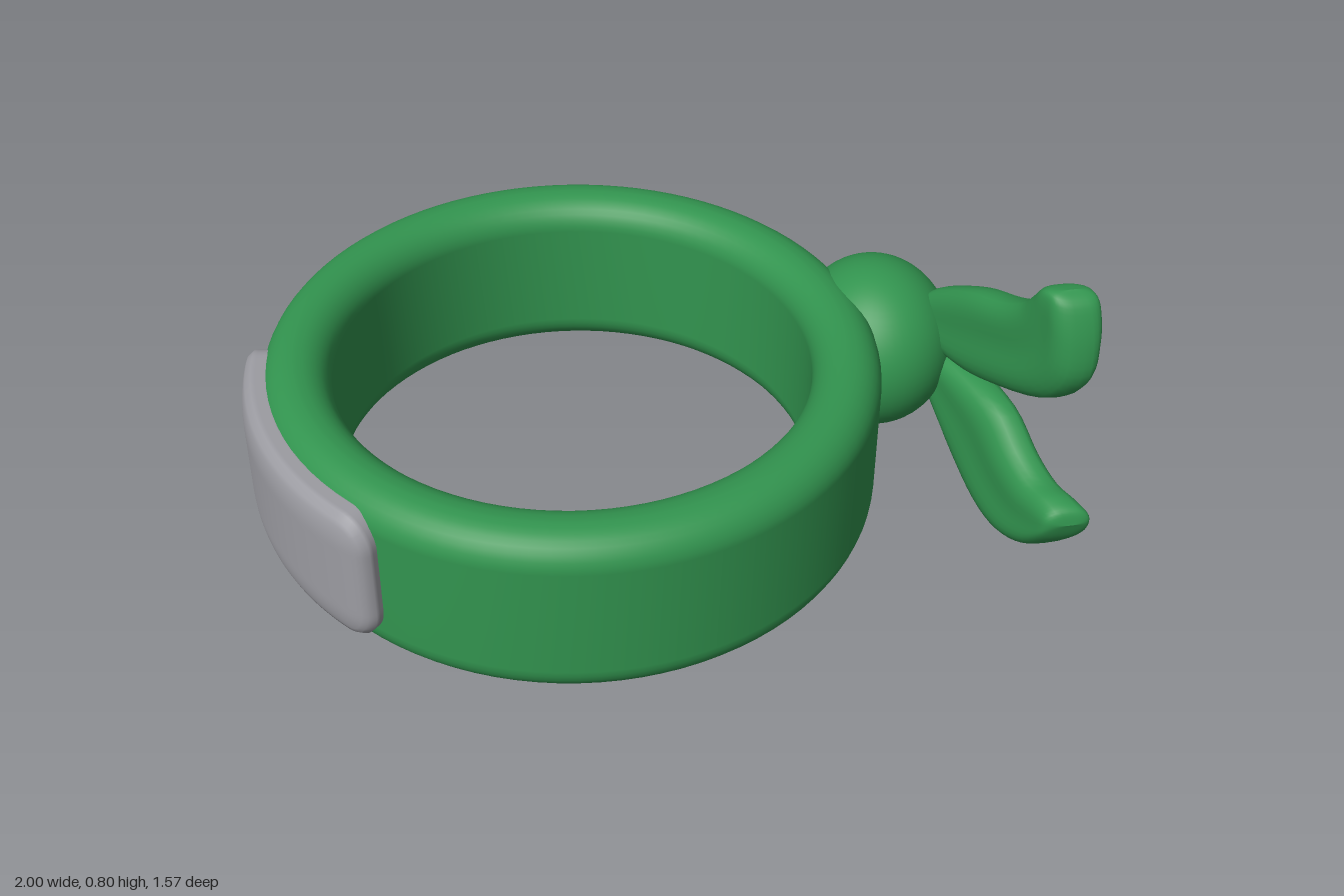
import * as THREE from 'three';
import { mergeVertices } from 'three/addons/utils/BufferGeometryUtils.js';

const green = new THREE.MeshStandardMaterial({ color: 0x32944f });
green.name = 'green cloth';
const grey = new THREE.MeshStandardMaterial({ color: 0x9c9ca2 });
grey.name = 'grey metal';

const CX = -0.195, RX = 0.753, RZ = 0.783; // band centre and outer radii

function smooth(geometry) {
  geometry.deleteAttribute('normal');
  geometry.deleteAttribute('uv');
  const merged = mergeVertices(geometry, 1e-5);
  merged.computeVertexNormals();
  return merged;
}

// Thick band: rounded rectangle section turned round the y axis
function bandGeometry() {
  const inner = 0.585, low = 0.1, high = 0.545, r = 0.08;
  const corners = [[RX - r, high - r], [inner + r, high - r], [inner + r, low + r], [RX - r, low + r]];
  const points = [new THREE.Vector2(RX, (low + high) / 2)];
  corners.forEach(([x, y], k) => {
    for (let i = 0; i <= 8; i++) {
      const a = (k + i / 8) * Math.PI / 2;
      points.push(new THREE.Vector2(x + r * Math.cos(a), y + r * Math.sin(a)));
    }
  });
  points.push(points[0].clone());
  const g = new THREE.LatheGeometry(points, 96);
  g.scale(1, 1, RZ / RX);
  return smooth(g);
}

// Pillow-edged plate bent round the outside of the band
function plateGeometry() {
  const W = 0.86, H = 0.35, R = 0.085, from = -0.22, to = 0.825;
  const g = new THREE.BoxGeometry(W, H, 0.1, 60, 28, 4);
  const p = g.attributes.position;
  for (let i = 0; i < p.count; i++) {
    const x = p.getX(i), y = p.getY(i);
    const qx = THREE.MathUtils.clamp(x, -W / 2 + R, W / 2 - R);
    const qy = THREE.MathUtils.clamp(y, -H / 2 + R, H / 2 - R);
    const dx = x - qx, dy = y - qy;
    const m = Math.max(Math.abs(dx), Math.abs(dy)); // square corner to round corner
    const s = m > 0 ? m / Math.hypot(dx, dy) : 0;
    const k = Math.min(1, m / R);
    const depth = p.getZ(i) * (0.45 + 0.55 * Math.sqrt(1 - k * k));
    const t = from + (to - from) * ((qx + dx * s) / W + 0.5);
    p.setXYZ(i,
      CX - (RX + depth) * Math.cos(t),
      0.335 + qy + dy * s,
      (RZ + depth) * Math.sin(t));
  }
  return smooth(g);
}

// Cloth tail: sections spanning a lower and an upper edge, each given as [z, y]
function tailGeometry(start, lower, upper, tip) {
  const curve = (edge) => new THREE.SplineCurve([start, ...edge, tip].map(([z, y]) => new THREE.Vector2(z, y)));
  const a = curve(lower), b = curve(upper);
  const rows = 48, cols = 32, pos = [], index = [];
  for (let i = 0; i <= rows; i++) {
    const u = (1 - Math.cos(Math.PI * i / rows)) / 2;
    const A = a.getPoint(u), B = b.getPoint(u);
    const c = A.clone().add(B).multiplyScalar(0.5);
    const h = A.clone().sub(B).multiplyScalar(0.5);
    const f = Math.min(1, h.length() / 0.07);
    const thick = 0.066 * Math.sqrt(1 - (1 - f) ** 2);
    const groove = 0.22 * Math.sin(Math.PI * u);
    for (let j = 0; j < cols; j++) {
      const t = j / cols * Math.PI * 2, sn = Math.sin(t), cs = Math.cos(t);
      const z = c.x + h.x * cs, y = c.y + h.y * cs;
      const side = Math.sign(sn) * Math.abs(sn) ** 0.7 * (1 - groove * sn ** 8);
      pos.push(0.79 + 0.33 * z + thick * side, y, z);
      if (i < rows) {
        const p = i * cols + j, q = i * cols + (j + 1) % cols;
        index.push(p, q, p + cols, q, q + cols, p + cols);
      }
    }
  }
  const g = new THREE.BufferGeometry();
  g.setAttribute('position', new THREE.Float32BufferAttribute(pos, 3));
  g.setIndex(index);
  return smooth(g);
}

export function createModel() {
  const model = new THREE.Group();
  model.name = 'headband';
  const add = (name, geometry, material) => {
    const mesh = new THREE.Mesh(geometry, material);
    mesh.name = name;
    model.add(mesh);
    return mesh;
  };

  const band = add('band', bandGeometry(), green);
  band.position.x = CX;
  add('plate', plateGeometry(), grey);

  // Knot on the model's left
  const knot = add('knot', new THREE.SphereGeometry(0.223, 48, 32), green);
  knot.scale.x = 0.91;
  knot.position.set(0.605, 0.353, -0.135);

  // Two tails fanning forward from the knot
  add('upperTail', tailGeometry(
    [-0.095, 0.455],
    [[-0.075, 0.395], [0.03, 0.373], [0.155, 0.395], [0.345, 0.475], [0.43, 0.57], [0.438, 0.67], [0.41, 0.77]],
    [[-0.085, 0.515], [-0.045, 0.555], [0.07, 0.62], [0.18, 0.66], [0.25, 0.7], [0.29, 0.745], [0.325, 0.787]],
    [0.37, 0.8]), green);
  add('lowerTail', tailGeometry(
    [-0.08, 0.335],
    [[-0.075, 0.28], [-0.015, 0.197], [0.07, 0.105], [0.175, 0.028], [0.27, 0.004], [0.365, 0.035], [0.45, 0.115]],
    [[-0.055, 0.37], [0.05, 0.37], [0.195, 0.345], [0.29, 0.273], [0.365, 0.237], [0.43, 0.234], [0.47, 0.22]],
    [0.483, 0.185]), green);

  return model;
}
